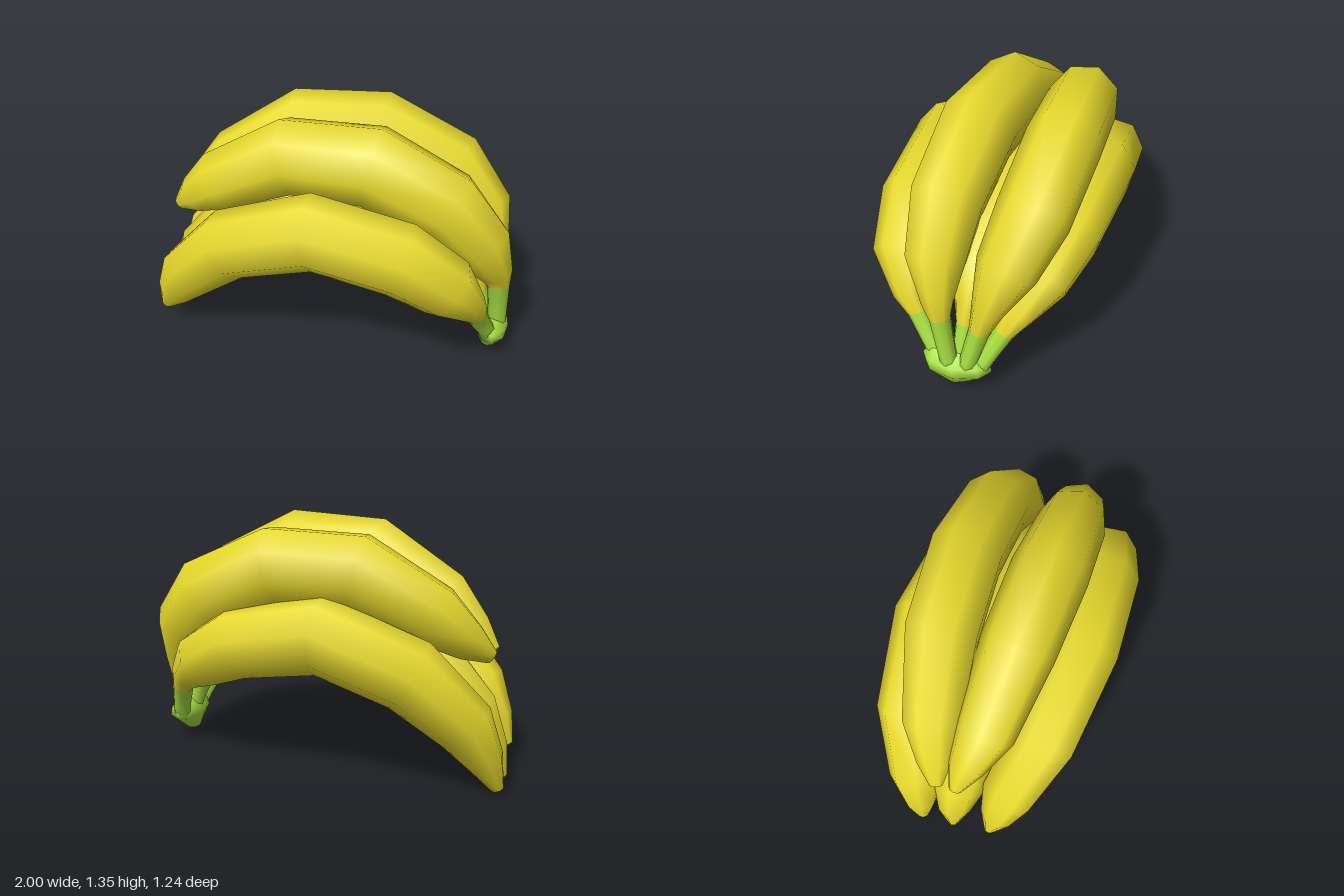
import * as THREE from 'three';

const SIDES = 8;

// Points of an oval ring around p, spanned by the axes u and v
function ring(p, u, v, ru, rv) {
  return Array.from({ length: SIDES }, (_, j) => {
    const a = j / SIDES * Math.PI * 2;
    return p.clone().addScaledVector(u, Math.cos(a) * ru).addScaledVector(v, Math.sin(a) * rv);
  });
}

// Skin a list of rings and cap both ends; the first `split` bands form group 0, the rest group 1
function loft(rings, split) {
  const n = SIDES, last = rings.length - 1;
  const pos = [], idx = [];
  rings.forEach(r => r.forEach(p => pos.push(p.x, p.y, p.z)));
  const centre = r => {
    const c = r.reduce((s, p) => s.add(p), new THREE.Vector3()).divideScalar(n);
    pos.push(c.x, c.y, c.z);
    return pos.length / 3 - 1;
  };
  const c0 = centre(rings[0]), c1 = centre(rings[last]);
  for (let j = 0; j < n; j++) idx.push(c0, (j + 1) % n, j);
  let cut = 0;
  for (let i = 0; i < last; i++) {
    if (i === split) cut = idx.length;
    for (let j = 0; j < n; j++) {
      const a = i * n + j, b = i * n + (j + 1) % n;
      idx.push(a, b, a + n, b, b + n, a + n);
    }
  }
  for (let j = 0; j < n; j++) idx.push(c1, last * n + j, last * n + (j + 1) % n);
  const g = new THREE.BufferGeometry();
  g.setAttribute('position', new THREE.Float32BufferAttribute(pos, 3));
  g.setIndex(idx);
  if (split) {
    g.addGroup(0, cut, 0);
    g.addGroup(cut, idx.length - cut, 1);
  }
  g.computeVertexNormals();
  return g;
}

// Eight-sided sections along a curved spine, one ridge pointing away from the middle of the bunch
function bananaGeometry(spine) {
  const hub = new THREE.Vector3(0, 0.12, 0.05);
  const pts = spine.map(([x, y, z]) => new THREE.Vector3(x, y, z));
  const rings = pts.map((p, i) => {
    const t = pts[Math.min(i + 1, pts.length - 1)].clone().sub(pts[Math.max(i - 1, 0)]).normalize();
    const u = p.clone().sub(hub);
    u.addScaledVector(t, -u.dot(t)).normalize();
    const v = new THREE.Vector3().crossVectors(t, u);
    const r = spine[i][3];
    return ring(p, u, v, r, r * 0.92);
  });
  return loft(rings, 2);
}

// Spines run from stem to tip: x, y, z, radius; the third point is where green turns yellow
const BANANAS = {
  lowerFrontBanana: [
    [0.90, 0.15, 0.18, 0.05], [0.87, 0.23, 0.21, 0.05], [0.81, 0.38, 0.30, 0.062], [0.78, 0.46, 0.35, 0.095],
    [0.65, 0.61, 0.41, 0.18], [0.41, 0.765, 0.425, 0.21], [-0.05, 0.865, 0.40, 0.215], [-0.51, 0.69, 0.31, 0.20],
    [-0.78, 0.41, 0.19, 0.165], [-0.89, 0.24, 0.15, 0.105], [-0.965, 0.11, 0.12, 0.035]],
  lowerMiddleBanana: [
    [0.89, 0.14, 0.06, 0.05], [0.87, 0.22, 0.06, 0.05], [0.81, 0.36, 0.05, 0.06], [0.77, 0.44, 0.04, 0.09],
    [0.65, 0.56, 0.03, 0.16], [0.42, 0.71, 0, 0.2], [-0.05, 0.82, -0.02, 0.21], [-0.51, 0.64, -0.06, 0.20],
    [-0.78, 0.36, -0.09, 0.165], [-0.89, 0.17, -0.10, 0.105], [-0.96, 0.015, -0.10, 0.035]],
  lowerBackBanana: [
    [0.91, 0.15, -0.04, 0.05], [0.89, 0.23, -0.08, 0.05], [0.84, 0.38, -0.16, 0.06], [0.79, 0.46, -0.21, 0.09],
    [0.65, 0.59, -0.29, 0.165], [0.42, 0.715, -0.36, 0.2], [-0.05, 0.805, -0.425, 0.215], [-0.51, 0.63, -0.41, 0.205],
    [-0.79, 0.36, -0.33, 0.165], [-0.89, 0.18, -0.30, 0.105], [-0.96, 0.02, -0.28, 0.035]],
  upperFrontBanana: [
    [0.94, 0.15, 0.10, 0.045], [0.935, 0.23, 0.11, 0.05], [0.92, 0.48, 0.145, 0.06], [0.90, 0.56, 0.16, 0.09],
    [0.80, 0.75, 0.19, 0.17], [0.62, 0.955, 0.19, 0.205], [0.23, 1.135, 0.15, 0.225], [-0.21, 1.125, 0.09, 0.215],
    [-0.61, 0.91, 0.02, 0.175], [-0.78, 0.775, -0.04, 0.11], [-0.89, 0.69, -0.07, 0.04]],
  upperBackBanana: [
    [0.94, 0.15, 0.02, 0.045], [0.93, 0.24, 0, 0.05], [0.90, 0.42, -0.05, 0.06], [0.88, 0.54, -0.085, 0.09],
    [0.80, 0.75, -0.16, 0.17], [0.62, 0.95, -0.24, 0.205], [0.22, 1.125, -0.29, 0.215], [-0.21, 1.115, -0.295, 0.21],
    [-0.61, 0.90, -0.25, 0.17], [-0.78, 0.765, -0.20, 0.105], [-0.89, 0.69, -0.17, 0.04]],
};

// Woody knot joining the stems: y, centre x, centre z, half width, half depth
const CROWN = [
  [0.24, 0.90, 0.09, 0.045, 0.13], [0.20, 0.91, 0.075, 0.085, 0.18],
  [0.15, 0.91, 0.07, 0.095, 0.18], [0.045, 0.90, 0.09, 0.04, 0.055]];

export function createModel() {
  const model = new THREE.Group();
  model.name = 'bananaBunch';
  const yellow = new THREE.MeshStandardMaterial({ color: 0xe6d82c });
  yellow.name = 'ripeYellow';
  const green = new THREE.MeshStandardMaterial({ color: 0xa8e042 });
  green.name = 'stemGreen';

  for (const [name, spine] of Object.entries(BANANAS)) {
    const banana = new THREE.Mesh(bananaGeometry(spine), [green, yellow]);
    banana.name = name;
    model.add(banana);
  }

  const xAxis = new THREE.Vector3(1, 0, 0), zAxis = new THREE.Vector3(0, 0, 1);
  const crown = new THREE.Mesh(
    loft(CROWN.map(([y, x, z, w, d]) => ring(new THREE.Vector3(x, y, z), xAxis, zAxis, w, d))), green);
  crown.name = 'crown';
  model.add(crown);
  return model;
}
